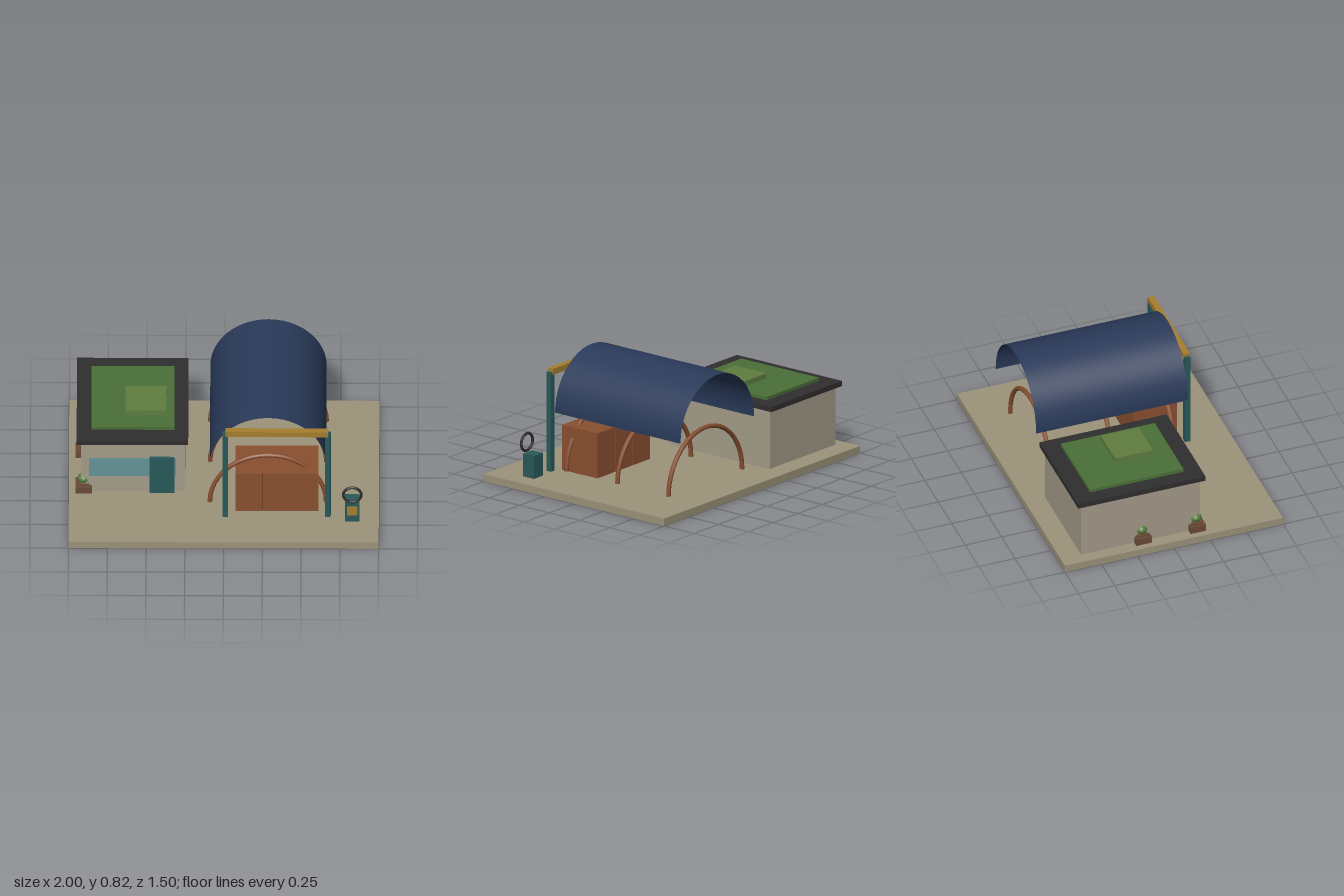
import * as THREE from 'three';

const mat = (color, extra = {}) => new THREE.MeshStandardMaterial({ color, ...extra });
const M = {
  ground: mat(0x9c937a), wall: mat(0xa49c8a), dark: mat(0x302e2e),
  grass: mat(0x4a7038), lightGrass: mat(0x607e40), teal: mat(0x28595a),
  glass: mat(0x649496), gold: mat(0xa67f30), wood: mat(0x8a5030),
  planter: mat(0x6a4a36), leaf: mat(0x557f3c, { flatShading: true }),
  canopy: mat(0x2a3a5a, { side: THREE.DoubleSide }),
  rib: mat(0x8a5030, { side: THREE.DoubleSide }),
};

export function createModel() {
  const root = new THREE.Group();
  root.name = 'courtyard';

  const add = (parent, name, geometry, material, x = 0, y = 0, z = 0) => {
    const mesh = new THREE.Mesh(geometry, material);
    mesh.name = name;
    mesh.position.set(x, y, z);
    parent.add(mesh);
    return mesh;
  };
  // Box given by its extents along each axis
  const box = (parent, name, material, [x0, x1], [y0, y1], [z0, z1]) =>
    add(parent, name, new THREE.BoxGeometry(x1 - x0, y1 - y0, z1 - z0), material,
      (x0 + x1) / 2, (y0 + y1) / 2, (z0 + z1) / 2);
  const group = (name) => {
    const g = new THREE.Group();
    g.name = name;
    root.add(g);
    return g;
  };

  box(root, 'groundSlab', M.ground, [-1, 1], [0, 0.05], [-0.75, 0.75]);

  // Flat-roofed building with a planted roof
  const house = group('building');
  box(house, 'walls', M.wall, [-0.92, -0.25], [0.05, 0.445], [-0.61, 0.21]);
  box(house, 'roofSlab', M.dark, [-0.95, -0.23], [0.445, 0.48], [-0.64, 0.235]);
  box(house, 'roofLawn', M.grass, [-0.855, -0.32], [0.48, 0.502], [-0.525, 0.12]);
  box(house, 'roofBed', M.lightGrass, [-0.635, -0.37], [0.502, 0.535], [-0.27, -0.01]);
  box(house, 'window', M.glass, [-0.87, -0.31], [0.18, 0.32], [0.2, 0.218]);
  box(house, 'door', M.teal, [-0.48, -0.32], [0.05, 0.33], [0.2, 0.23]);

  // Planters along the outer wall
  for (const z of [-0.19, 0.183]) {
    const p = group('planter');
    p.position.set(-0.905, 0, z);
    box(p, 'planterBox', M.planter, [-0.053, 0.053], [0.05, 0.1], [-0.053, 0.053]);
    box(p, 'planterSoil', M.planter, [-0.038, 0.038], [0.1, 0.112], [-0.038, 0.038]);
    add(p, 'shrub', new THREE.SphereGeometry(0.039, 10, 8), M.leaf, 0, 0.138, 0).scale.y = 0.85;
  }

  // Half-round canopy above three arched ribs
  const shelter = group('shelter');
  const shell = new THREE.CylinderGeometry(0.375, 0.375, 1.045, 24, 1, true, Math.PI / 2, Math.PI);
  shell.rotateX(Math.PI / 2);
  const canopy = add(shelter, 'canopy', shell, M.canopy, 0.285, 0.445, -0.0875);
  // Keep the arch opening downwards
  shell.computeBoundingBox();
  if (shell.boundingBox.max.y < 0.1) canopy.rotation.z = Math.PI;
  for (const z of [0.34, -0.085, -0.51]) {
    add(shelter, 'archRib', new THREE.TorusGeometry(0.375, 0.015, 8, 24, Math.PI), M.rib, 0.285, 0.07, z);
  }

  // Plank-fronted crate under the canopy
  const crate = group('crate');
  box(crate, 'crateBody', M.wood, [0.075, 0.61], [0.05, 0.355], [0.125, 0.415]);
  const w = 0.535 / 6;
  for (let i = 0; i < 6; i++) {
    const x = 0.075 + i * w;
    for (const z of [0.12, 0.415]) {
      box(crate, 'plank', M.wood, [x + 0.002, x + w - 0.002], [0.052, 0.353], [z, z + 0.006]);
    }
  }

  // Entrance gate
  const gate = group('gate');
  for (const x of [0.01, 0.672]) {
    box(gate, 'gatePost', M.teal, [x - 0.018, x + 0.018], [0.05, 0.72], [0.445, 0.481]);
  }
  box(gate, 'gateBeam', M.gold, [0.01, 0.672], [0.702, 0.742], [0.442, 0.484]);

  // Small pedestal with a ring on top
  const stand = group('pedestal');
  box(stand, 'pedestalBody', M.teal, [0.782, 0.876], [0.05, 0.203], [0.435, 0.525]);
  box(stand, 'pedestalPlate', M.gold, [0.795, 0.863], [0.105, 0.17], [0.52, 0.533]);
  add(stand, 'ring', new THREE.TorusGeometry(0.058, 0.009, 8, 24), M.dark, 0.829, 0.27, 0.531);

  return root;
}
